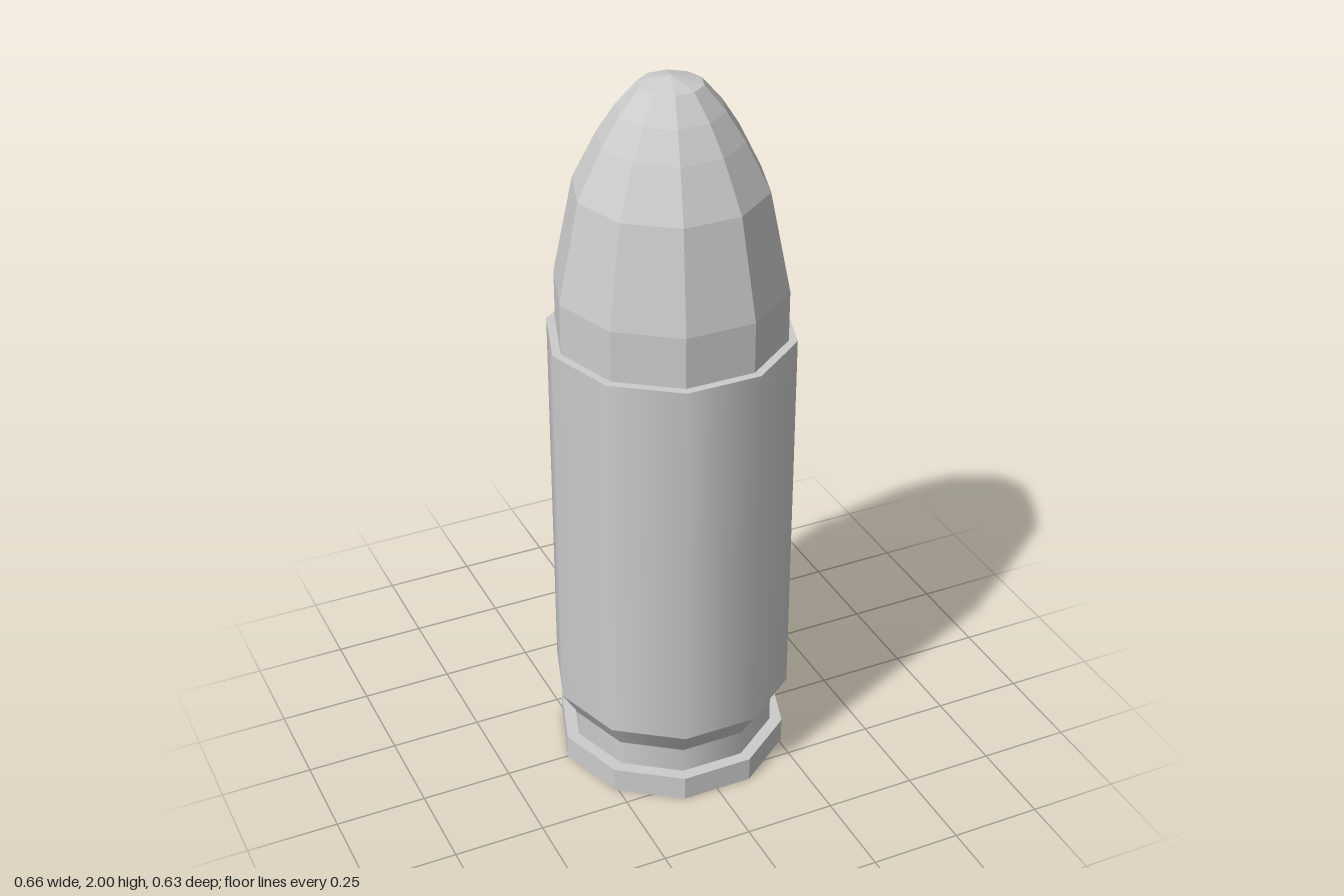
import * as THREE from 'three';

const SIDES = 10;

// Ten-sided turned band with a corner on +x; profile runs bottom to top as [radius, height].
function band(name, profile, flatShading) {
  const points = profile.map(([r, y]) => new THREE.Vector2(r, y));
  const geometry = new THREE.LatheGeometry(points, SIDES, Math.PI / 2);
  const material = new THREE.MeshStandardMaterial({ color: 0xcccccc, flatShading });
  const mesh = new THREE.Mesh(geometry, material);
  mesh.name = name;
  return mesh;
}

export function createModel() {
  const model = new THREE.Group();
  model.name = 'cartridge';

  // Case: faceted rim, then smooth groove, bevel and wall with crisp edges between them
  const cartridgeCase = new THREE.Group();
  cartridgeCase.name = 'case';
  cartridgeCase.add(
    band('rim', [[0, 0], [0.32, 0], [0.32, 0.07], [0.285, 0.07]], true),
    band('extractorGroove', [[0.285, 0.07], [0.285, 0.143]], false),
    band('grooveBevel', [[0.285, 0.143], [0.33, 0.217]], false),
    band('caseWall', [[0.33, 0.217], [0.33, 1.3]], false),
    band('caseMouth', [[0.33, 1.3], [0.307, 1.3]], true),
  );

  // Bullet: faceted ogive with a shallow blunt tip
  const bullet = new THREE.Group();
  bullet.name = 'bullet';
  bullet.add(
    band('ogive', [
      [0.307, 1.3], [0.307, 1.44], [0.252, 1.71],
      [0.187, 1.84], [0.138, 1.916], [0.083, 1.98],
    ], true),
    band('tip', [[0.083, 1.98], [0, 2]], true),
  );

  model.add(cartridgeCase, bullet);
  return model;
}
